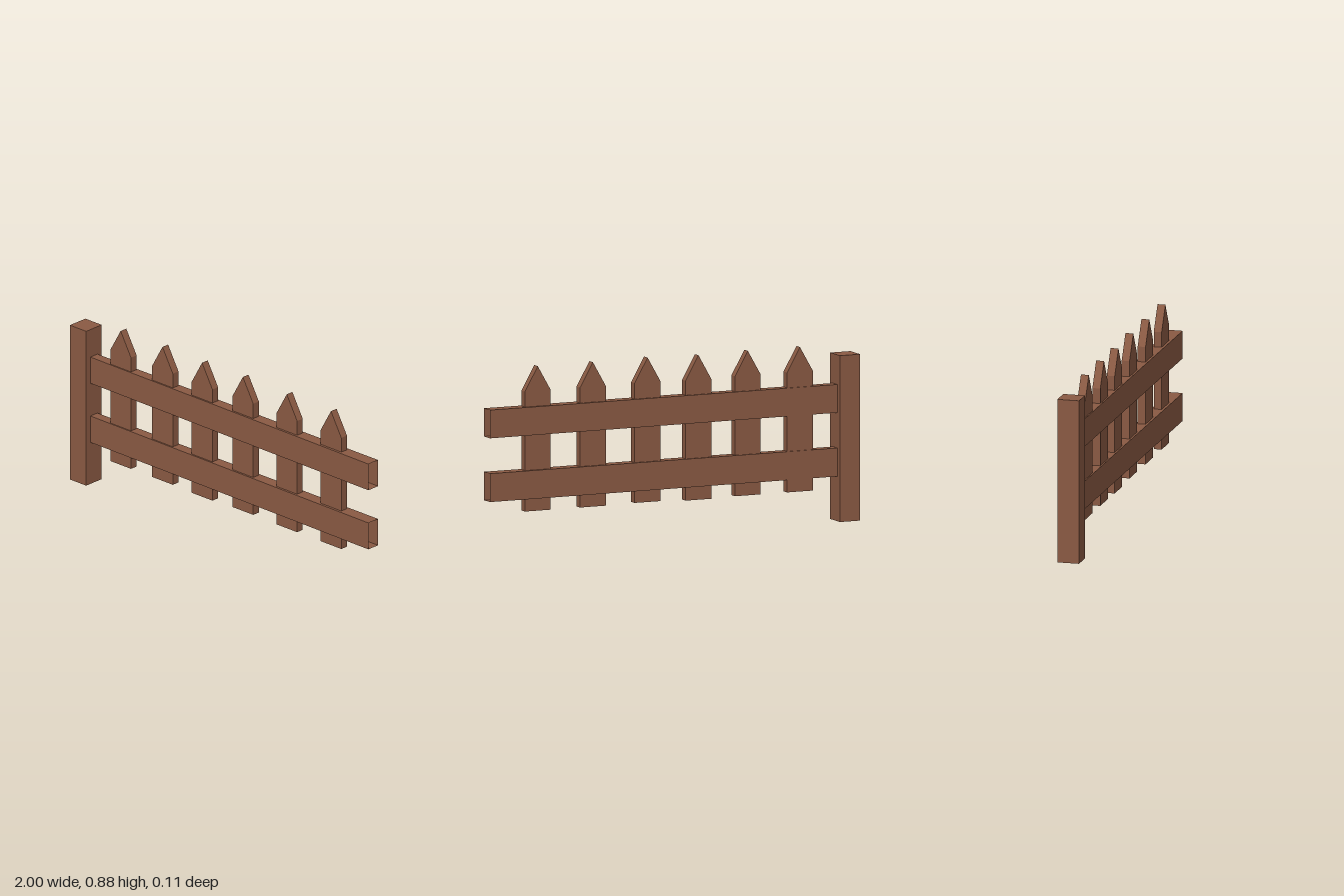
import * as THREE from 'three';

const wood = new THREE.MeshStandardMaterial({ color: 0x8a5a43, side: THREE.DoubleSide });
wood.name = 'brown wood';

// Box between two corners, leaving out the listed sides (0 +x, 1 -x, 2 +y, 3 -y, 4 +z, 5 -z)
function openBox([x0, y0, z0], [x1, y1, z1], openSides) {
  const geometry = new THREE.BoxGeometry(x1 - x0, y1 - y0, z1 - z0);
  geometry.translate((x0 + x1) / 2, (y0 + y1) / 2, (z0 + z1) / 2);
  const index = Array.from(geometry.index.array);
  geometry.setIndex(index.filter((_, i) => !openSides.includes(Math.floor(i / 6))));
  geometry.clearGroups();
  return geometry;
}

// Hollow rail with open ends, slightly deeper at the free end
function railGeometry(bottom, top) {
  const start = -0.9, end = 1;
  const geometry = openBox([start, bottom, -1], [end, top, 1], [0, 1]);
  const p = geometry.attributes.position;
  for (let i = 0; i < p.count; i++) {
    const t = (p.getX(i) - start) / (end - start);
    p.setZ(i, p.getZ(i) * THREE.MathUtils.lerp(0.025, 0.0345, t));
  }
  geometry.computeVertexNormals();
  return geometry;
}

// Pointed board
function picketGeometry() {
  const w = 0.07, depth = 0.04;
  const shape = new THREE.Shape([
    new THREE.Vector2(-w, 0.16),
    new THREE.Vector2(w, 0.16),
    new THREE.Vector2(w, 0.754),
    new THREE.Vector2(0, 0.876),
    new THREE.Vector2(-w, 0.754),
  ]);
  return new THREE.ExtrudeGeometry(shape, { depth, bevelEnabled: false }).translate(0, 0, -depth / 2);
}

export function createModel() {
  const fence = new THREE.Group();
  fence.name = 'picketFence';
  const add = (name, geometry) => {
    const mesh = new THREE.Mesh(geometry, wood);
    mesh.name = name;
    fence.add(mesh);
    return mesh;
  };

  // End post, open underneath
  add('post', openBox([-1, 0, -0.055], [-0.89, 0.825, 0.055], [3]));

  // Rails
  add('lowerRail', railGeometry(0.222, 0.363));
  add('upperRail', railGeometry(0.538, 0.678));

  // Pickets: x position and small height offset
  const picket = picketGeometry();
  [[-0.69, 0], [-0.407, 0], [-0.139, -0.004], [0.137, 0.003], [0.434, 0], [0.733, 0]].forEach(([x, y], i) => {
    add(`picket${i + 1}`, picket).position.set(x, y, 0);
  });

  return fence;
}
